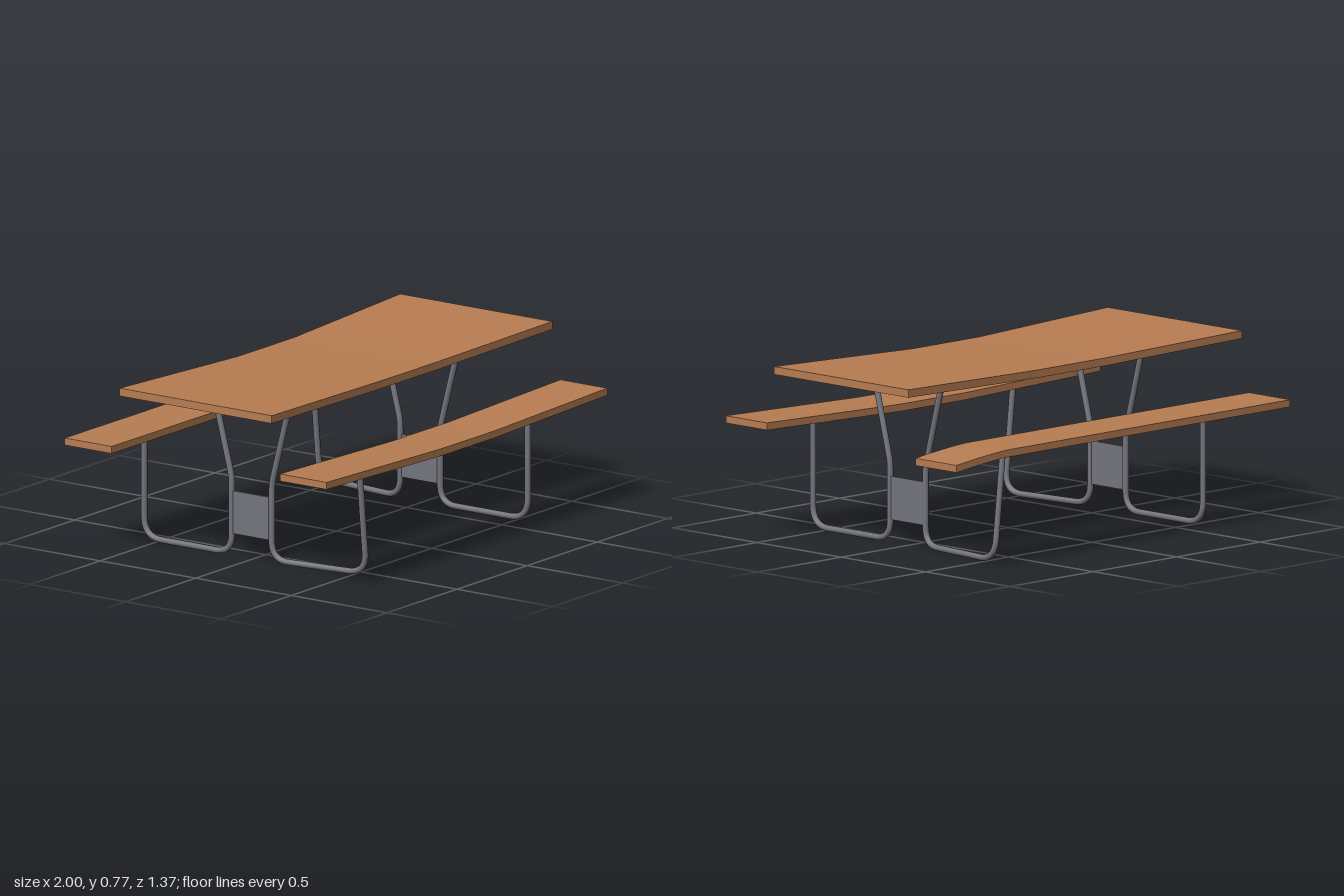
import * as THREE from 'three';

export function createModel() {
  const wood = new THREE.MeshStandardMaterial({ color: 0xb87d52 });
  wood.name = 'wood';
  const steel = new THREE.MeshStandardMaterial({ color: 0x74747e });
  steel.name = 'steel';

  const group = new THREE.Group();
  const add = (name, geometry, material, x = 0, y = 0, z = 0) => {
    const mesh = new THREE.Mesh(geometry, material);
    mesh.name = name;
    mesh.position.set(x, y, z);
    group.add(mesh);
  };

  // 0 over the flat middle, rising to 1 at the ends
  const toEnd = (x) => Math.max(0, (Math.abs(x) - 0.2) / 0.8);

  // A long board whose height and half width vary along x
  const board = (thickness, lift, halfWidth) => {
    const g = new THREE.BoxGeometry(2, thickness, 1, 40, 1, 4);
    const p = g.attributes.position;
    for (let i = 0; i < p.count; i++) {
      const x = p.getX(i);
      p.setY(i, p.getY(i) - thickness / 2 + lift(x));
      p.setZ(i, p.getZ(i) * 2 * halfWidth(x));
    }
    g.computeVertexNormals();
    return g;
  };

  // Table top, narrower and lower in the middle
  const tableLift = (x) => 0.747 + 0.021 * toEnd(x);
  add('tableTop', board(0.034, tableLift, (x) => 0.367 + 0.031 * toEnd(x)), wood);

  // Benches: the front one sags, the back one droops at its left end
  const frontLift = (x) => 0.5 + 0.021 * toEnd(x);
  const backLift = (x) => 0.508 - 0.028 * Math.pow(Math.max(0, (x - 0.7) / 0.3), 1.3);
  const benchZ = 0.5625;
  add('frontBench', board(0.031, frontLift, () => 0.1225), wood, 0, 0, benchZ);
  add('backBench', board(0.031, backLift, () => 0.1225), wood, 0, 0, -benchZ);

  // Bent tube through points, with a rounded corner of given reach at each inner point
  const bentTube = (points, reach) => {
    const path = new THREE.CurvePath();
    let from = points[0];
    for (let i = 1; i < points.length - 1; i++) {
      const c = points[i];
      const a = c.clone().add(points[i - 1].clone().sub(c).setLength(reach[i - 1]));
      const b = c.clone().add(points[i + 1].clone().sub(c).setLength(reach[i - 1]));
      path.add(new THREE.LineCurve3(from, a));
      path.add(new THREE.QuadraticBezierCurve3(a, c, b));
      from = b;
    }
    path.add(new THREE.LineCurve3(from, points[points.length - 1]));
    return new THREE.TubeGeometry(path, 100, 0.0135, 12);
  };

  for (const x of [-0.6, 0.6]) {
    for (const s of [1, -1]) {
      const side = s > 0 ? 'front' : 'back';
      // One foot of each frame is knocked out of line
      const bend = x * s < 0 ? 0.05 : 0;
      const benchY = (s > 0 ? frontLift : backLift)(x) - 0.031;
      const points = [
        new THREE.Vector3(0, benchY, s * 0.563),
        new THREE.Vector3(bend, 0.0145, s * 0.563),
        new THREE.Vector3(0, 0.0145, s * 0.105),
        new THREE.Vector3(0, 0.345, s * 0.105),
        new THREE.Vector3(0, 0.722, s * 0.203),
      ];
      add(side + 'Leg', bentTube(points, [0.09, 0.08, 0.03]), steel, x);
      add(side + 'BenchBracket', new THREE.BoxGeometry(0.1, 0.008, 0.215), steel, x, benchY - 0.003, s * benchZ);
    }
    // Plate joining the two legs, and the strip under the table top
    add('joiningPlate', new THREE.BoxGeometry(0.012, 0.186, 0.2), steel, x, 0.193, 0);
    add('tableBracket', new THREE.BoxGeometry(0.1, 0.008, 0.7), steel, x, tableLift(x) - 0.037, 0);
  }
  return group;
}
